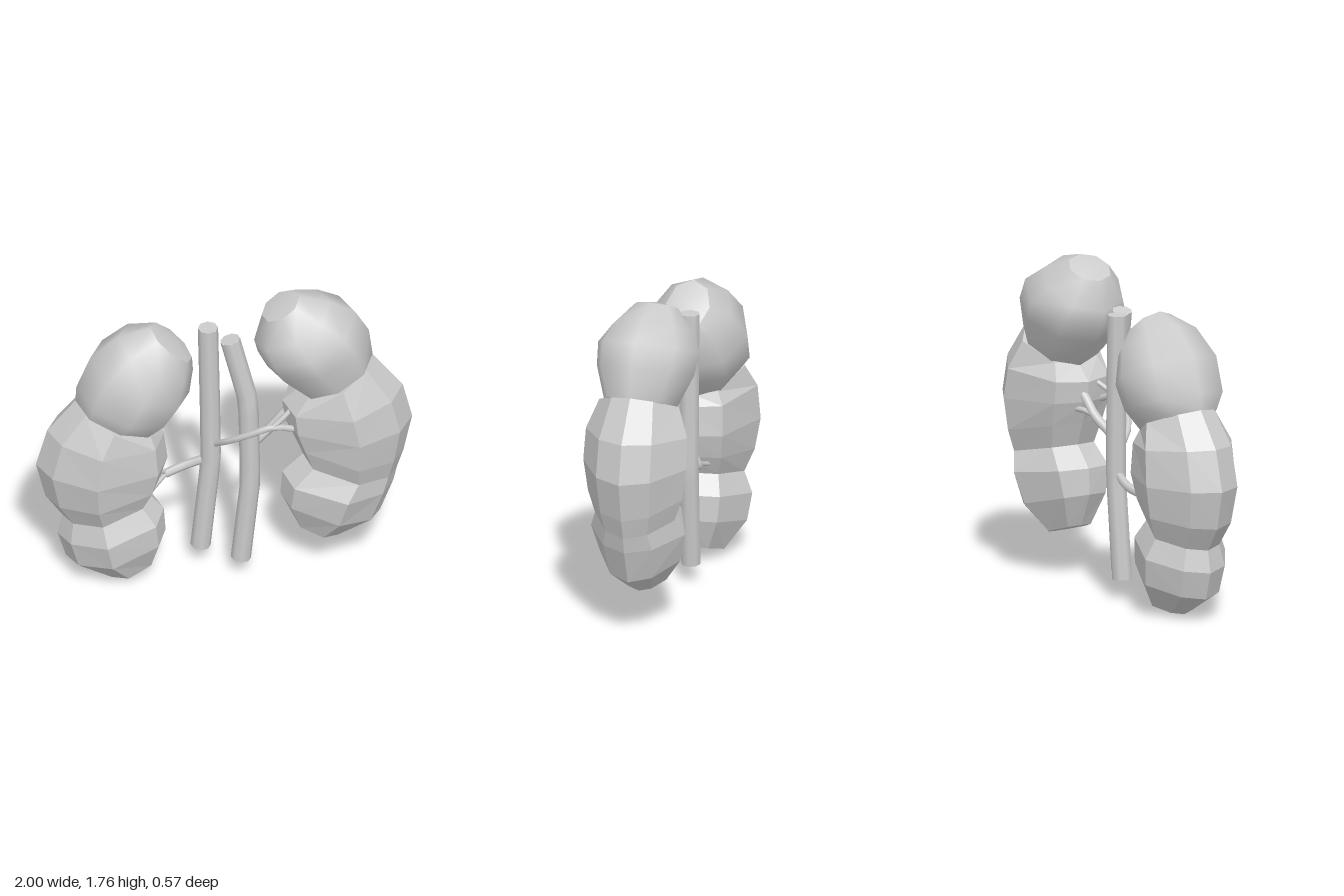
import * as THREE from 'three';

const grey = () => new THREE.MeshStandardMaterial({ color: 0xcccccc });

// Section shapes as [fraction from outer to inner side, depth fraction]
const KIDNEY = [[0, 0], [0.11, 0.52], [0.44, 1], [0.91, 0.6], [1, 0], [0.91, -0.6], [0.44, -1], [0.11, -0.52]];
const ROUND = [...Array(8)].map((_, i) => {
  const a = (i * Math.PI) / 4;
  return [0.5 - 0.5 * Math.cos(a), Math.sin(a)];
});

// Loft of rings listed top to bottom: [outerX, outerY, innerX, innerY, halfDepth].
// Caps have their own vertices so that their rims stay sharp.
function loft(rings, section, flat, bump = 0) {
  const n = section.length, pos = [], idx = [];
  const flip = rings[0][0] > rings[0][2];
  const tri = (a, b, c) => (flip ? idx.push(a, c, b) : idx.push(a, b, c));
  const addRing = ([ox, oy, ix, iy, h]) => {
    const start = pos.length / 3;
    section.forEach(([t, d]) => pos.push(ox + (ix - ox) * t, oy + (iy - oy) * t, d * h));
    return start;
  };
  const starts = rings.map(addRing);
  for (let i = 0; i < rings.length - 1; i++) {
    for (let j = 0; j < n; j++) {
      const k = (j + 1) % n, p = starts[i], q = starts[i + 1];
      tri(p + j, q + j, q + k);
      tri(p + j, q + k, p + k);
    }
  }
  [0, rings.length - 1].forEach((r) => {
    const [ox, oy, ix, iy] = rings[r], s = addRing(rings[r]), c = pos.length / 3;
    const b = r === 0 ? bump : 0, len = Math.hypot(ix - ox, iy - oy);
    const sx = flip ? -1 : 1;
    pos.push((ox + ix) / 2 - (sx * b * (iy - oy)) / len, (oy + iy) / 2 + (b * Math.abs(ix - ox)) / len, 0);
    for (let j = 0; j < n; j++) {
      const k = (j + 1) % n;
      if (r === 0) tri(c, s + j, s + k);
      else tri(c, s + k, s + j);
    }
  });
  const g = new THREE.BufferGeometry();
  g.setAttribute('position', new THREE.Float32BufferAttribute(pos, 3));
  g.setIndex(idx);
  g.computeVertexNormals();
  const m = grey();
  m.flatShading = flat;
  return new THREE.Mesh(g, m);
}

// Round vessel: straight runs for the trunks, smooth curve for branches, closed ends
function vessel(points, radius, sides, curved) {
  const pts = points.map((p) => new THREE.Vector3(...p));
  let path;
  if (curved) path = new THREE.CatmullRomCurve3(pts);
  else {
    path = new THREE.CurvePath();
    for (let i = 1; i < pts.length; i++) path.add(new THREE.LineCurve3(pts[i - 1], pts[i]));
  }
  const group = new THREE.Group();
  group.add(new THREE.Mesh(new THREE.TubeGeometry(path, curved ? 8 : 12, radius, sides), grey()));
  [0, 1].forEach((t) => {
    const end = new THREE.Mesh(new THREE.CircleGeometry(radius, sides), grey());
    const dir = path.getTangentAt(t).multiplyScalar(t ? 1 : -1);
    end.position.copy(path.getPointAt(t));
    end.quaternion.setFromUnitVectors(new THREE.Vector3(0, 0, 1), dir);
    group.add(end);
  });
  return group;
}

export function createModel() {
  const model = new THREE.Group();
  const add = (name, obj) => {
    obj.name = name;
    model.add(obj);
  };

  // Kidneys
  add('rightKidney', loft([
    [-0.79, 1.14, -0.36, 0.96, 0.22],
    [-0.94, 0.95, -0.32, 0.9, 0.27],
    [-1.0, 0.73, -0.3, 0.74, 0.28],
    [-0.95, 0.52, -0.34, 0.61, 0.25],
    [-0.86, 0.39, -0.4, 0.5, 0.2],
    [-0.885, 0.27, -0.32, 0.4, 0.25],
    [-0.84, 0.12, -0.31, 0.26, 0.23],
    [-0.63, 0.0, -0.37, 0.09, 0.13],
  ], KIDNEY, true));
  add('leftKidney', loft([
    [0.79, 1.36, 0.4, 1.16, 0.22],
    [0.95, 1.15, 0.31, 1.08, 0.28],
    [1.0, 0.94, 0.32, 0.97, 0.285],
    [0.955, 0.72, 0.37, 0.85, 0.26],
    [0.92, 0.61, 0.42, 0.72, 0.22],
    [0.9, 0.52, 0.31, 0.61, 0.26],
    [0.83, 0.33, 0.3, 0.47, 0.22],
    [0.63, 0.21, 0.38, 0.29, 0.12],
  ], KIDNEY, true));

  // Smooth glands resting on the kidneys
  add('rightAdrenalGland', loft([
    [-0.39, 1.6, -0.17, 1.39, 0.12],
    [-0.56, 1.55, -0.165, 1.31, 0.22],
    [-0.71, 1.42, -0.185, 1.16, 0.28],
    [-0.785, 1.23, -0.26, 1.05, 0.27],
    [-0.79, 1.14, -0.35, 0.95, 0.2],
  ], ROUND, false, 0.03));
  add('leftAdrenalGland', loft([
    [0.4, 1.76, 0.2, 1.65, 0.12],
    [0.565, 1.72, 0.16, 1.49, 0.22],
    [0.7, 1.64, 0.18, 1.41, 0.28],
    [0.77, 1.52, 0.23, 1.31, 0.27],
    [0.79, 1.36, 0.4, 1.15, 0.2],
  ], ROUND, false, 0.02));

  // Main vessels
  add('rearTrunkVessel', vessel([[-0.08, 1.53, -0.07], [-0.07, 1.05, -0.07], [-0.065, 0.66, -0.07], [-0.12, 0.1, -0.065]], 0.054, 8, false));
  add('frontTrunkVessel', vessel([[0.03, 1.52, 0.03], [0.125, 1.13, 0.055], [0.135, 0.6, 0.06], [0.085, 0.1, 0.06]], 0.054, 8, false));

  // Branches to the left kidney
  add('leftArtery', vessel([[-0.04, 0.79, -0.03], [0.02, 0.87, 0.06], [0.13, 0.95, 0.12], [0.25, 1.0, 0.13], [0.36, 0.97, 0.11]], 0.018, 6, true));
  add('leftArteryFork', vessel([[0.25, 1.0, 0.13], [0.31, 1.04, 0.1], [0.38, 1.09, 0.05]], 0.014, 6, true));
  add('leftVein', vessel([[0.14, 0.82, 0.04], [0.25, 0.91, 0.0], [0.31, 0.98, -0.01], [0.38, 1.05, -0.02]], 0.026, 6, true));
  add('leftVeinFork', vessel([[0.25, 0.91, 0.0], [0.31, 0.93, -0.03], [0.38, 0.93, -0.05]], 0.016, 6, true));

  // Branches to the right kidney
  add('rightArtery', vessel([[-0.08, 0.67, -0.07], [-0.2, 0.62, -0.08], [-0.31, 0.59, -0.05]], 0.024, 6, true));
  [[-0.37, 0.65, -0.01], [-0.42, 0.51, 0.04], [-0.4, 0.56, -0.08]].forEach((end, i) =>
    add('rightArteryFork' + (i + 1), vessel([[-0.3, 0.595, -0.055], end], 0.013, 6, false)));

  return model;
}
